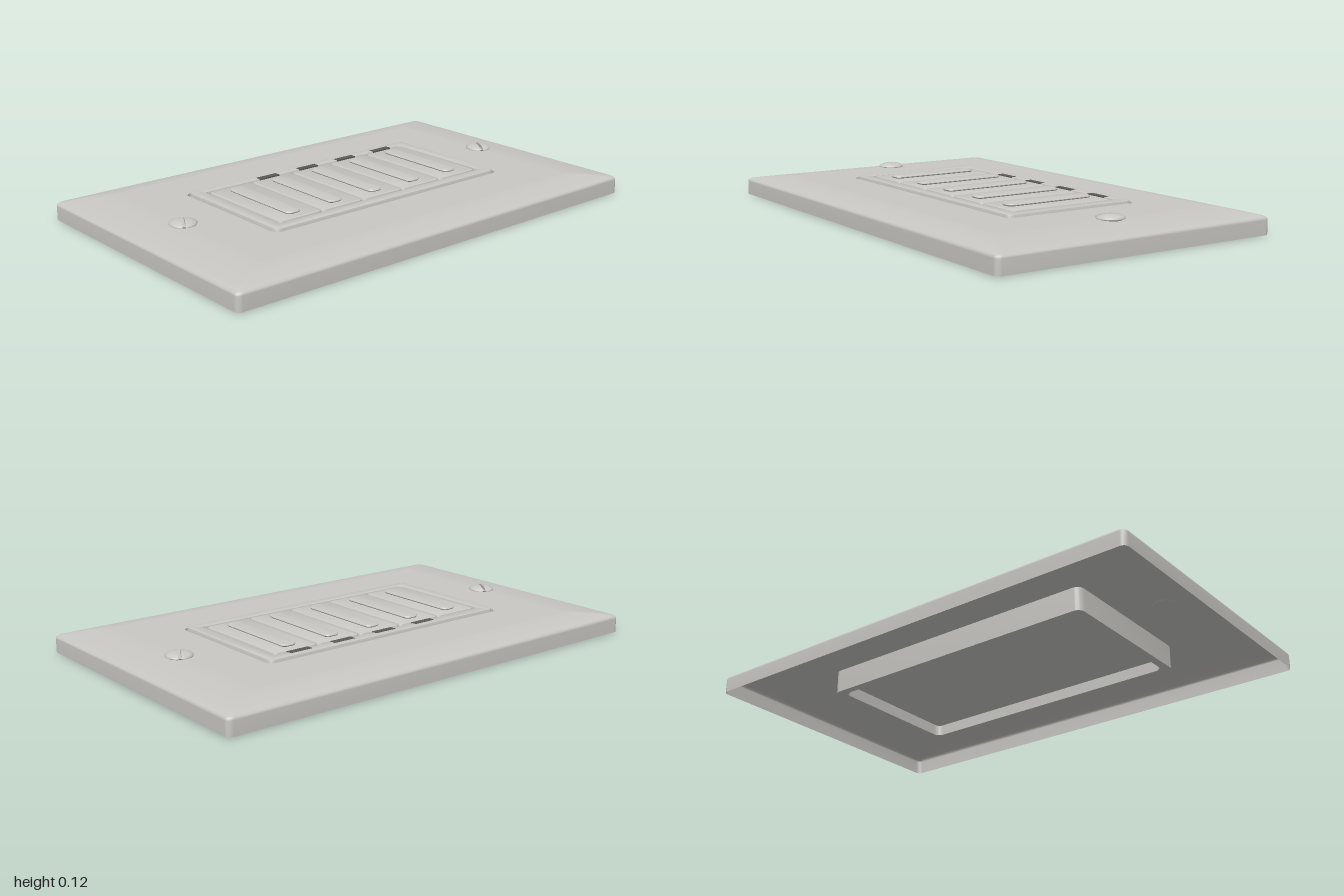
import * as THREE from 'three';
import { toCreasedNormals } from 'three/addons/utils/BufferGeometryUtils.js';

const CX = -0.004, CZ = -0.005; // centre of the control unit on the plate

// Rounded rectangle from half sizes, centred on (cx, cy)
function roundRect(hx, hy, r, cx = 0, cy = 0, Type = THREE.Shape) {
  const s = new Type();
  const corners = [[1, 1], [-1, 1], [-1, -1], [1, -1]];
  corners.forEach(([sx, sy], i) => {
    s.absarc(cx + sx * (hx - r), cy + sy * (hy - r), r, i * Math.PI / 2, (i + 1) * Math.PI / 2, false);
  });
  s.closePath();
  return s;
}

// Upright slab between two heights, with an optional bevelled rim
function slab(shape, y0, y1, bevel = 0, bevelHeight = bevel) {
  const g = new THREE.ExtrudeGeometry(shape, {
    depth: y1 - y0 - 2 * bevelHeight, curveSegments: 5,
    bevelEnabled: bevel > 0, bevelSize: bevel, bevelThickness: bevelHeight,
    bevelOffset: -bevel, bevelSegments: 2,
  });
  g.translate(0, 0, bevelHeight + y0);
  g.rotateX(-Math.PI / 2);
  return toCreasedNormals(g, 0.6);
}

// Skin through rounded-rectangle rings given as [inset x, inset z, height]
function loftRings(hx, hz, r, rings) {
  const pos = [], index = [], perCorner = 5, n = perCorner * 4;
  for (const [ix, iz, y] of rings) {
    for (let i = 0; i < n; i++) {
      const c = Math.floor(i / perCorner);
      const a = (c + (i % perCorner) / (perCorner - 1)) * Math.PI / 2;
      const sx = c === 0 || c === 3 ? 1 : -1, sz = c < 2 ? 1 : -1;
      pos.push(sx * (hx - ix - r) + r * Math.cos(a), y, sz * (hz - iz - r) + r * Math.sin(a));
    }
  }
  for (let k = 0; k < rings.length - 1; k++) {
    for (let i = 0; i < n; i++) {
      const a = k * n + i, b = k * n + (i + 1) % n;
      index.push(a, a + n, b, b, a + n, b + n);
    }
  }
  const g = new THREE.BufferGeometry();
  g.setAttribute('position', new THREE.Float32BufferAttribute(pos, 3));
  g.setIndex(index);
  g.computeVertexNormals();
  return g;
}

export function createModel() {
  const model = new THREE.Group();
  const grey = new THREE.MeshStandardMaterial({ color: 0xc8c7c3, side: THREE.DoubleSide });
  grey.name = 'light grey plastic';
  const dark = new THREE.MeshStandardMaterial({ color: 0x5a5a58 });
  dark.name = 'dark grey indicator';

  function add(parent, name, geometry, material = grey) {
    const mesh = new THREE.Mesh(geometry, material);
    mesh.name = name;
    parent.add(mesh);
    return mesh;
  }

  // Hollow wall plate: side skirt with softened shoulder, then flat face
  const plate = new THREE.Group();
  plate.name = 'wallPlate';
  model.add(plate);
  add(plate, 'plateRim', loftRings(0.625, 1, 0.022, [
    [0, 0, 0.002], [0, 0, 0.06], [0.002, 0.002, 0.067], [0.008, 0.009, 0.073],
    [0.035, 0.05, 0.081], [0.07, 0.11, 0.09], [0.1, 0.16, 0.096], [0.13, 0.2, 0.098],
  ]));
  const face = roundRect(0.495, 0.8, 0.022);
  face.holes.push(roundRect(0.302, 0.593, 0.03, CX, -CZ, THREE.Path));
  // Screws sit partly beyond the flat face, so the holes are kept small
  for (const s of [1, -1]) {
    const hole = new THREE.Path();
    hole.absarc(-0.009, s * 0.77 - CZ, 0.02, 0, Math.PI * 2, true);
    face.holes.push(hole);
  }
  const faceGeometry = new THREE.ShapeGeometry(face, 6);
  faceGeometry.rotateX(-Math.PI / 2);
  faceGeometry.translate(0, 0.098, 0);
  add(plate, 'plateFace', faceGeometry);

  // Collar hanging below the opening
  const collar = roundRect(0.335, 0.627, 0.03, CX, -CZ);
  collar.holes.push(roundRect(0.302, 0.593, 0.03, CX, -CZ, THREE.Path));
  add(plate, 'openingCollar', slab(collar, 0, 0.097));

  // Control unit, leaving a narrow gap inside the opening
  const unit = new THREE.Group();
  unit.name = 'controlUnit';
  unit.position.set(CX, 0, CZ);
  model.add(unit);
  const frame = roundRect(0.292, 0.583, 0.025);
  frame.holes.push(roundRect(0.244, 0.531, 0.012, 0, 0, THREE.Path));
  add(unit, 'frame', slab(frame, 0.04, 0.108, 0.004));
  add(unit, 'base', slab(roundRect(0.286, 0.577, 0.022), 0.038, 0.086));

  // Five push buttons, each with a raised grip bar
  for (let i = 0; i < 5; i++) {
    const z = (i - 2) * 0.21;
    const button = new THREE.Group();
    button.name = 'button' + (i + 1);
    button.position.z = z;
    unit.add(button);
    add(button, 'buttonCap', slab(roundRect(0.235, 0.102, 0.016), 0.084, 0.109, 0.008));
    add(button, 'gripBar', slab(roundRect(0.197, 0.033, 0.02), 0.107, 0.121, 0.014, 0.006));

    // Indicator strip beside the first four buttons
    if (i < 4) {
      const light = add(unit, 'indicator' + (i + 1), new THREE.BoxGeometry(0.027, 0.006, 0.1), dark);
      light.position.set(-0.253, 0.1065, z);
    }
  }

  // Slotted screws: two half domes over a disc
  const profile = [[0.054, 0], [0.055, 0.004], [0.049, 0.009], [0.036, 0.014], [0.019, 0.017], [0, 0.018]]
    .map(([x, y]) => new THREE.Vector2(x, y));
  const section = new THREE.Shape([
    ...profile, ...profile.slice(0, -1).reverse().map((p) => new THREE.Vector2(-p.x, p.y)),
  ]);
  for (const s of [1, -1]) {
    const screw = new THREE.Group();
    screw.name = s > 0 ? 'frontScrew' : 'backScrew';
    screw.position.set(-0.009, 0.1, s * 0.797 + CZ);
    screw.rotation.y = -0.5;
    model.add(screw);
    const disc = add(screw, 'screwBase', new THREE.CylinderGeometry(0.053, 0.046, 0.008, 28));
    disc.position.y = -0.001;
    for (const side of [0, 1]) {
      const half = new THREE.Group();
      half.name = 'screwHalf';
      half.rotation.y = side * Math.PI;
      screw.add(half);
      const dome = add(half, 'dome', new THREE.LatheGeometry(profile, 16, -Math.PI / 2, Math.PI));
      const wall = add(half, 'slotWall', new THREE.ShapeGeometry(section));
      dome.scale.z = 0.88;
      dome.position.z = wall.position.z = 0.006;
    }
  }
  return model;
}
